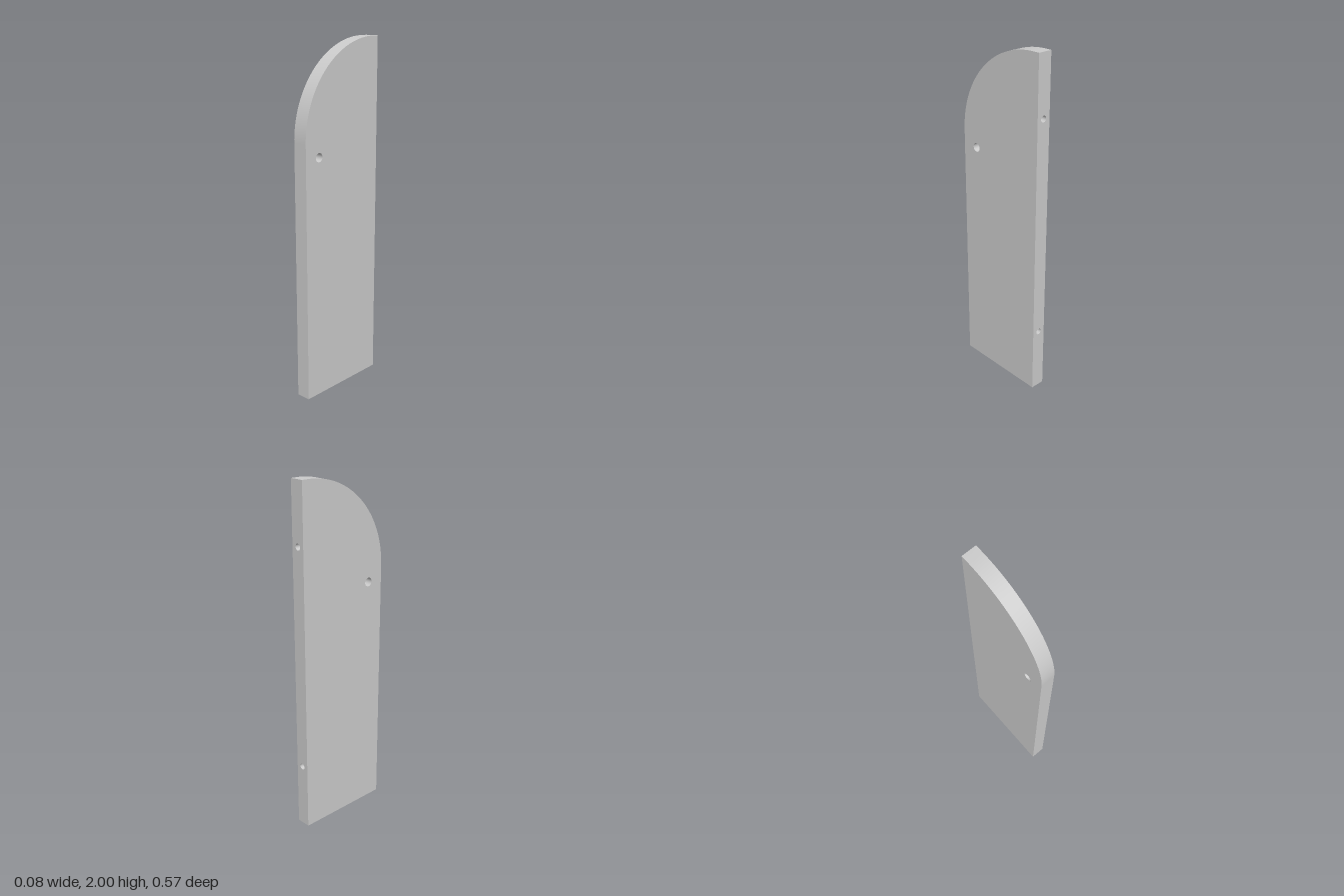
import * as THREE from 'three';

const HALF_T = 0.042, HALF_D = 0.285, HEIGHT = 2, ARC = 0.53;
const PIVOT = { u: 0.185, v: 1.388, r: 0.025 };
const BACK_HOLES = [{ u: 0, v: 0.38, r: 0.018 }, { u: 0, v: 1.66, r: 0.018 }];
const BASE_HOLES = [{ u: 0, v: 0.187, r: 0.016 }];
const SOCKET_DEPTH = 0.1;

const material = new THREE.MeshStandardMaterial({ color: 0xcccccc });
const innerMaterial = new THREE.MeshStandardMaterial({ color: 0xcccccc, side: THREE.BackSide });

function addMesh(parent, name, geometry, mat = material) {
  const mesh = new THREE.Mesh(geometry, mat);
  mesh.name = name;
  parent.add(mesh);
  return mesh;
}

// Flat face from an outline, with round holes cut out
function faceWithHoles(points, holes) {
  const shape = new THREE.Shape(points);
  for (const { u, v, r } of holes) {
    shape.holes.push(new THREE.Path().absarc(u, v, r, 0, Math.PI * 2, true));
  }
  return new THREE.ShapeGeometry(shape, 16);
}

function rectangle(u, v0, v1) {
  return [[-u, v0], [u, v0], [u, v1], [-u, v1]].map(([a, b]) => new THREE.Vector2(a, b));
}

// Blind round hole: mouth at the origin, running along +y
function socket(name, r) {
  const group = new THREE.Group();
  group.name = name;
  const wall = new THREE.CylinderGeometry(r, r, SOCKET_DEPTH, 32, 1, true);
  addMesh(group, 'socketWall', wall.translate(0, SOCKET_DEPTH / 2, 0), innerMaterial);
  const end = new THREE.CircleGeometry(r, 32);
  addMesh(group, 'socketEnd', end.rotateX(Math.PI / 2).translate(0, SOCKET_DEPTH, 0));
  return group;
}

export function createModel() {
  const model = new THREE.Group();
  model.name = 'roundedPanel';

  // Outer edge in (z, y): top back corner, quarter round, front foot
  const edge = [new THREE.Vector2(-HALF_D, HEIGHT)];
  const steps = 48;
  for (let i = 0; i <= steps; i++) {
    const a = (Math.PI / 2) * (1 - i / steps);
    edge.push(new THREE.Vector2(HALF_D - ARC + ARC * Math.cos(a), HEIGHT - ARC + ARC * Math.sin(a)));
  }
  edge.push(new THREE.Vector2(HALF_D, 0));

  // Two broad faces with the pivot hole
  for (const s of [1, -1]) {
    const outline = [...edge, new THREE.Vector2(-HALF_D, 0)].map(p => new THREE.Vector2(-s * p.x, p.y));
    const face = faceWithHoles(outline, [{ ...PIVOT, u: -s * PIVOT.u }]);
    face.rotateY(s * Math.PI / 2).translate(s * HALF_T, 0, 0);
    addMesh(model, s > 0 ? 'leftFace' : 'rightFace', face);
  }

  // Smooth rim over the top, round the curve and down the front
  const rim = new THREE.PlaneGeometry(2 * HALF_T, 1, 1, edge.length - 1);
  const pos = rim.attributes.position;
  for (let i = 0; i < pos.count; i++) {
    const p = edge[Math.floor(i / 2)];
    pos.setXYZ(i, pos.getX(i), p.y, p.x);
  }
  rim.computeVertexNormals();
  addMesh(model, 'curvedRim', rim);

  // Back edge and base with their dowel holes
  const back = faceWithHoles(rectangle(HALF_T, 0, HEIGHT), BACK_HOLES);
  addMesh(model, 'backEdge', back.rotateY(Math.PI).translate(0, 0, -HALF_D));
  const base = faceWithHoles(rectangle(HALF_T, -HALF_D, HALF_D), BASE_HOLES);
  addMesh(model, 'base', base.rotateX(Math.PI / 2));

  // Wall of the through hole
  const bore = new THREE.CylinderGeometry(PIVOT.r, PIVOT.r, 2 * HALF_T, 32, 1, true);
  bore.rotateZ(Math.PI / 2).translate(0, PIVOT.v, PIVOT.u);
  addMesh(model, 'pivotHole', bore, innerMaterial);

  // Blind dowel sockets
  for (const h of BACK_HOLES) {
    const hole = socket('backSocket', h.r);
    hole.rotation.x = Math.PI / 2;
    hole.position.set(h.u, h.v, -HALF_D);
    model.add(hole);
  }
  for (const h of BASE_HOLES) {
    const hole = socket('baseSocket', h.r);
    hole.position.set(h.u, 0, h.v);
    model.add(hole);
  }
  return model;
}
